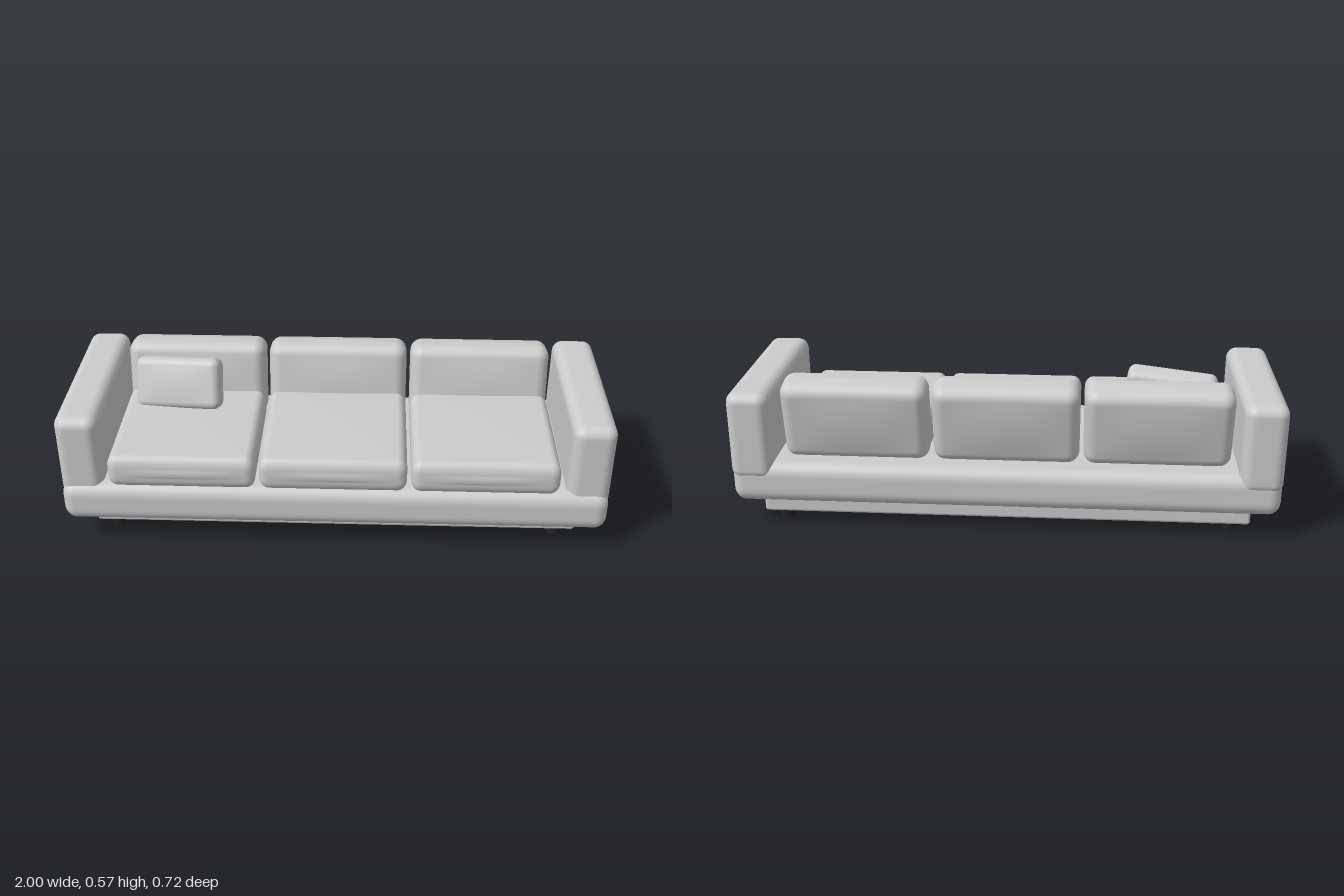
import * as THREE from 'three';
import { mergeVertices } from 'three/addons/utils/BufferGeometryUtils.js';

const grey = new THREE.MeshStandardMaterial({ color: 0xcccccc });
const dark = new THREE.MeshStandardMaterial({ color: 0x222222 });

// Upholstered block: box with per-axis edge radii and optional crowned faces
function softBox(size, radii, crown = [0, 0, 0]) {
  const n = 20, edge = 5;
  const half = size.map((s) => s / 2);
  const inner = half.map((h, i) => h - radii[i]);
  let geo = new THREE.BoxGeometry(2, 2, 2, n, n, n);
  geo.deleteAttribute('uv');
  geo.deleteAttribute('normal');
  geo = mergeVertices(geo);
  const pos = geo.attributes.position;
  for (let v = 0; v < pos.count; v++) {
    const t = pos.getComponent(v, 0) === undefined ? [] : [0, 1, 2].map((i) => pos.getComponent(v, i));
    const core = [], dir = new THREE.Vector3();
    t.forEach((c, i) => {
      // the outer grid rows form the rounded edge, the others the flat face
      const split = 1 - (2 * edge) / n;
      const a = Math.abs(c), s = Math.sign(c);
      core[i] = s * inner[i] * Math.min(1, a / split);
      dir.setComponent(i, s * Math.tan(Math.max(0, (a - split) / (1 - split)) * Math.PI / 4));
    });
    dir.normalize();
    const unit = core.map((c, i) => c / inner[i]);
    core.forEach((c, i) => {
      const [j, k] = [(i + 1) % 3, (i + 2) % 3];
      const swell = crown[i] * (1 - unit[j] ** 2) * (1 - unit[k] ** 2) * unit[i];
      pos.setComponent(v, i, c + dir.getComponent(i) * radii[i] + swell);
    });
  }
  geo.computeVertexNormals();
  return geo;
}

function add(parent, name, geometry, x, y, z, material = grey) {
  const mesh = new THREE.Mesh(geometry, material);
  mesh.name = name;
  mesh.position.set(x, y, z);
  parent.add(mesh);
  return mesh;
}

export function createModel() {
  const sofa = new THREE.Group();
  sofa.name = 'sofa';

  // Base platform and recessed plinth
  add(sofa, 'base', softBox([1.996, 0.155, 0.715], [0.045, 0.05, 0.045]), 0, 0.1775, 0.0025);
  add(sofa, 'plinth', softBox([1.8, 0.08, 0.555], [0.012, 0.012, 0.012]), 0, 0.077, -0.0125);

  // Arms
  const armGeo = softBox([0.157, 0.335, 0.7], [0.04, 0.04, 0.045]);
  for (const side of [-1, 1]) {
    add(sofa, side > 0 ? 'leftArm' : 'rightArm', armGeo, side * 0.9215, 0.3575, -0.01);
  }

  // Three seat and back cushions
  const seatGeo = softBox([0.535, 0.128, 0.52], [0.035, 0.045, 0.03], [0, 0.003, 0.004]);
  const backGeo = softBox([0.535, 0.305, 0.15], [0.045, 0.045, 0.05], [0, 0.004, 0.008]);
  for (const x of [-0.552, -0.003, 0.547]) {
    add(sofa, 'seatCushion', seatGeo, x, 0.316, 0.097);
    add(sofa, 'backCushion', backGeo, x, 0.405, -0.222).rotation.x = -0.17;
  }

  // Loose pillow leaning back on one seat
  const pillowGeo = softBox([0.33, 0.195, 0.09], [0.03, 0.03, 0.03], [0, 0, 0.006]);
  const pillow = add(sofa, 'pillow', pillowGeo, -0.604, 0.46, -0.062);
  pillow.rotation.set(-0.35, -0.18, 0.07, 'YXZ');

  // Feet
  const footGeo = new THREE.CylinderGeometry(0.025, 0.025, 0.028, 24);
  for (const x of [-0.83, 0.83]) {
    for (const z of [0.222, -0.235]) {
      add(sofa, 'foot', footGeo, x, 0.014, z, dark);
    }
  }
  return sofa;
}
